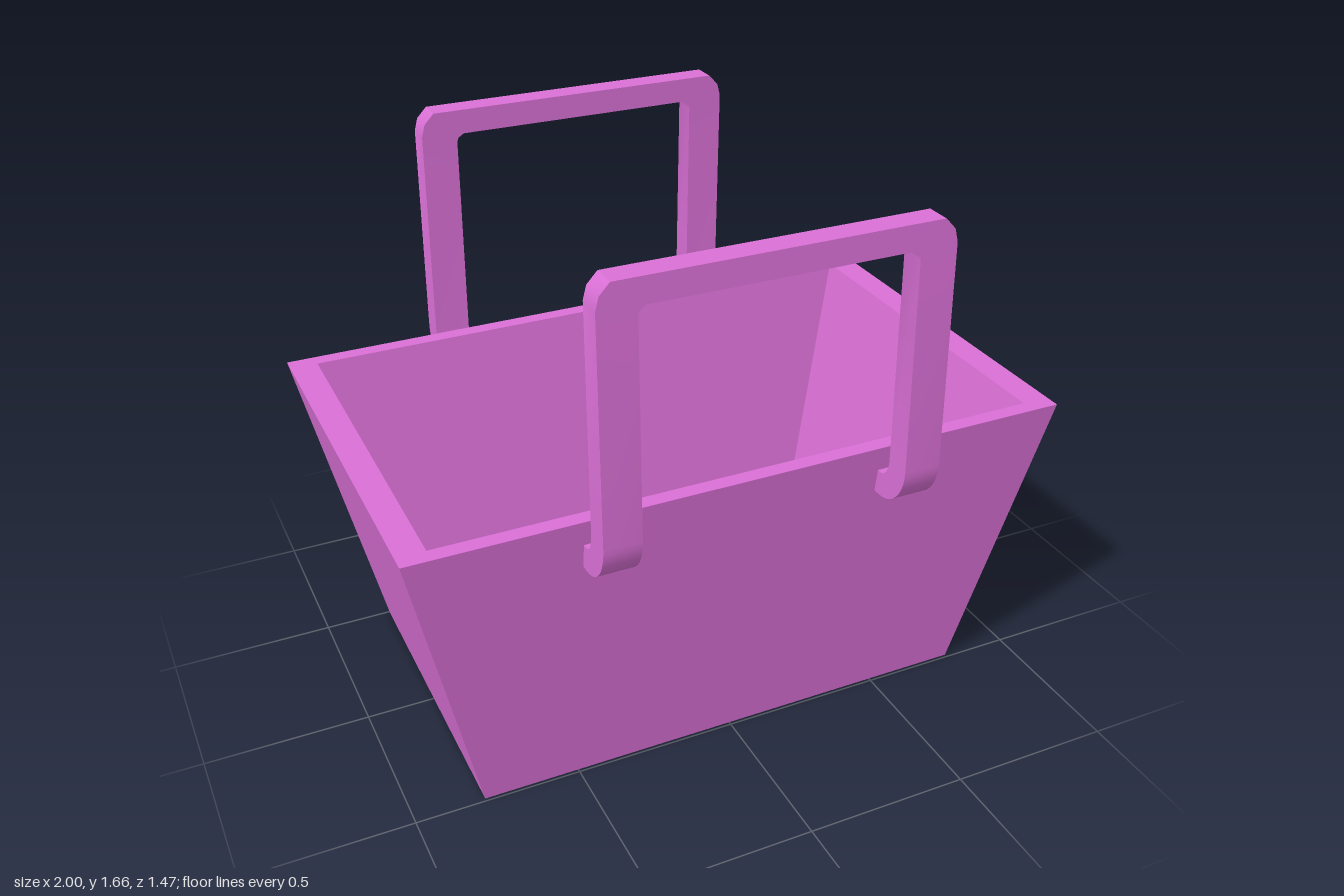
import * as THREE from 'three';
import { toCreasedNormals } from 'three/addons/utils/BufferGeometryUtils.js';

// Skin a chain of four-cornered rings and cap both ends
function skinRings(rings) {
  const index = [];
  const quad = (a, b, c, d) => index.push(a, b, c, a, c, d);
  for (let i = 0; i < rings.length - 1; i++) {
    for (let j = 0; j < 4; j++) {
      const k = (j + 1) % 4, n = i * 4;
      quad(n + k, n + j, n + 4 + j, n + 4 + k);
    }
  }
  const e = (rings.length - 1) * 4;
  quad(0, 1, 2, 3);
  quad(e + 3, e + 2, e + 1, e);
  const geo = new THREE.BufferGeometry();
  geo.setAttribute('position', new THREE.Float32BufferAttribute(rings.flat(2), 3));
  geo.setIndex(index);
  return toCreasedNormals(geo, 0.5);
}

// Hollow tapered body: up the outside, over the rim, down to the inner floor
function basketGeometry() {
  const levels = [[0.79, 0, 0.49], [1, 0.945, 0.612], [0.916, 0.945, 0.565], [0.725, 0.085, 0.456]];
  return skinRings(levels.map(([x, y, z]) => [[x, y, z], [-x, y, z], [-x, y, -z], [x, y, -z]]));
}

// Handle: hooked foot, leaning leg, chamfered corner, then mirrored
function handleGeometry() {
  const xo = 0.505, xi = 0.395, bendY = 0.93, bendZ = 0.617;
  const half = [];
  const foot = (yo, zo, yi, zi) => half.push([[xo, yo, zo], [xi, yo, zo], [xi, yi, zi], [xo, yi, zi]]);
  foot(0.795, 0.575, 0.868, 0.575);
  const steps = 10;
  for (let i = 0; i <= steps; i++) {
    const t = (i / steps) * Math.PI / 2, s = Math.sin(t), c = Math.cos(t);
    foot(bendY - 0.135 * c, bendZ + 0.118 * s, bendY - 0.062 * c, bendZ + 0.038 * s);
  }
  const zOut = y => 0.735 - 0.027 * (y - bendY);
  const zIn = y => 0.655 - 0.02 * (y - bendY);
  const corner = [[xo, 1.59, xi, 1.56], [0.495, 1.628, 0.391, 1.573], [0.465, 1.66, 0.373, 1.585]];
  for (const [ox, oy, ix, iy] of corner) {
    half.push([[ox, oy, zOut(oy)], [ix, iy, zOut(iy)], [ix, iy, zIn(iy)], [ox, oy, zIn(oy)]]);
  }
  const mirrored = half.map(ring => ring.map(([x, y, z]) => [-x, y, z])).reverse();
  return skinRings([...half, ...mirrored]);
}

export function createModel() {
  const model = new THREE.Group();
  model.name = 'basket';
  const material = new THREE.MeshStandardMaterial({ color: 0xda70d6 });

  const body = new THREE.Mesh(basketGeometry(), material);
  body.name = 'basketBody';
  model.add(body);

  // Matching handles on the front and back walls
  const handle = handleGeometry();
  ['frontHandle', 'backHandle'].forEach((name, i) => {
    const mesh = new THREE.Mesh(handle, material);
    mesh.name = name;
    mesh.rotation.y = i * Math.PI;
    model.add(mesh);
  });
  return model;
}
